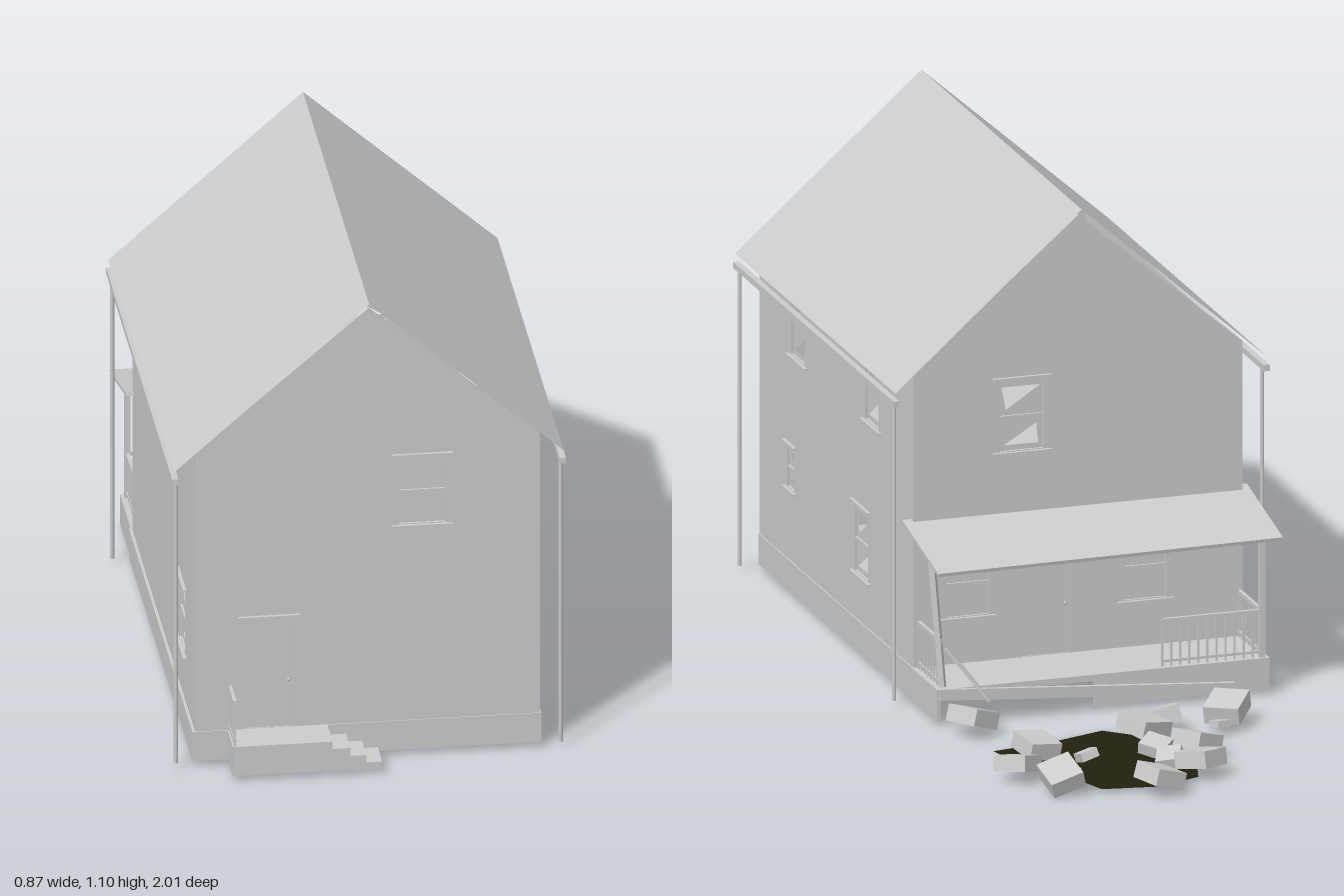
import * as THREE from 'three';

const grey = new THREE.MeshStandardMaterial({ color: 0xcccccc, side: THREE.DoubleSide });
grey.name = 'pale grey';
const black = new THREE.MeshStandardMaterial({ color: 0x222010, side: THREE.DoubleSide });
black.name = 'scorched black';

const W = 0.38, Z0 = -0.15, Z1 = 0.91, ZC = (Z0 + Z1) / 2, BASE = 0.08, EAVE = 0.755, RIDGE = 1.08;

function add(parent, name, geo, x = 0, y = 0, z = 0, mat = grey) {
  const m = new THREE.Mesh(geo, mat);
  m.name = name;
  m.position.set(x, y, z);
  parent.add(m);
  return m;
}

// Box given by its minimum and maximum on each axis
function box(parent, name, x0, x1, y0, y1, z0, z1) {
  return add(parent, name, new THREE.BoxGeometry(x1 - x0, y1 - y0, z1 - z0),
    (x0 + x1) / 2, (y0 + y1) / 2, (z0 + z1) / 2);
}

// Square bar running between two points
function bar(parent, name, a, b, w, d = w) {
  const p = new THREE.Vector3(...a), q = new THREE.Vector3(...b);
  const m = add(parent, name, new THREE.BoxGeometry(w, d, p.distanceTo(q)));
  m.position.copy(p).add(q).multiplyScalar(0.5);
  m.lookAt(q);
  return m;
}

const poly = pts => new THREE.Shape(pts.map(p => new THREE.Vector2(...p)));
const rect = (x0, x1, y0, y1) => poly([[x0, y0], [x1, y0], [x1, y1], [x0, y1]]);

// Sash window in wall space (z outward); a broken one has a triangular gap in its panes
function addWindow(wall, { u, y0, y1, w, broken }) {
  const g = new THREE.Group();
  g.name = 'window';
  wall.add(g);
  const a = u - w / 2, b = u + w / 2, mid = (y0 + y1) / 2, f = 0.005;
  const pane = rect(a, b, y0, y1);
  if (broken) {
    pane.holes.push(poly([[a + 0.01, y1 - 0.01], [b - 0.01, y1 - 0.01], [a + 0.02, mid + 0.015]]));
    pane.holes.push(poly([[a + 0.015, y0 + 0.012], [b - 0.015, y0 + 0.012], [b - 0.02, mid - 0.02]]));
  }
  add(g, 'windowPane', new THREE.ShapeGeometry(pane), 0, 0, -0.006);
  box(g, 'windowJamb', a, a + f, y0, y1, -0.008, 0.001);
  box(g, 'windowJamb', b - f, b, y0, y1, -0.008, 0.001);
  box(g, 'meetingRail', a, b, mid - 0.003, mid + 0.003, -0.006, -0.001);
  box(g, 'windowSill', a - 0.012, b + 0.012, y0 - 0.007, y0 - 0.002, -0.004, 0.008);
  box(g, 'windowLintel', a - 0.012, b + 0.012, y1 + 0.009, y1 + 0.014, -0.004, 0.008);
}

function addDoor(wall, u) {
  const g = new THREE.Group();
  g.name = 'door';
  wall.add(g);
  const a = u - 0.055, b = u + 0.055;
  box(g, 'doorLeaf', a, b, BASE, 0.34, -0.008, -0.003);
  box(g, 'doorJamb', a - 0.003, a, BASE, 0.343, -0.008, 0.002);
  box(g, 'doorJamb', b, b + 0.003, BASE, 0.343, -0.008, 0.002);
  box(g, 'doorLintel', a - 0.013, b + 0.013, 0.347, 0.352, -0.004, 0.008);
  add(g, 'doorKnob', new THREE.SphereGeometry(0.004, 8, 6), b - 0.01, 0.195, 0.001);
}

// Wall with window and door openings, turned to face outward
function addWall(root, name, outline, pos, turn, windows, door) {
  const g = new THREE.Group();
  g.name = name;
  g.position.set(...pos);
  g.rotation.y = turn;
  root.add(g);
  const s = poly(outline);
  windows.forEach(v => s.holes.push(rect(v.u - v.w / 2, v.u + v.w / 2, v.y0, v.y1)));
  if (door !== undefined) s.holes.push(rect(door - 0.055, door + 0.055, BASE + 0.001, 0.34));
  add(g, name + 'Panel', new THREE.ExtrudeGeometry(s, { depth: 0.01, bevelEnabled: false }), 0, 0, -0.01);
  windows.forEach(v => addWindow(g, v));
  if (door !== undefined) addDoor(g, door);
}

// Hand rail with balusters between two deck points
function addRailing(root, name, a, b, n) {
  const g = new THREE.Group();
  g.name = name;
  root.add(g);
  bar(g, 'handRail', [a[0], 0.185, a[1]], [b[0], 0.185, b[1]], 0.008);
  bar(g, 'bottomRail', [a[0], 0.092, a[1]], [b[0], 0.092, b[1]], 0.006);
  for (let i = 0; i <= n; i++) {
    const t = i / n, x = a[0] + (b[0] - a[0]) * t, z = a[1] + (b[1] - a[1]) * t;
    box(g, 'baluster', x - 0.002, x + 0.002, BASE, 0.185, z - 0.002, z + 0.002);
  }
}

export function createModel() {
  const root = new THREE.Group();
  root.name = 'abandonedHouse';

  // Foundation ring
  const F = W + 0.002;
  for (const s of [-1, 1]) box(root, 'foundationSide', s * F - 0.006, s * F + 0.001, 0.01, BASE, Z0, Z1);
  box(root, 'foundationFront', -F, F, 0.01, BASE, Z1 - 0.006, Z1 + 0.002);
  box(root, 'foundationBack', -F, F, 0.01, BASE, Z0 - 0.002, Z0 + 0.006);

  // Walls
  const gable = [[-W, BASE], [W, BASE], [W, EAVE], [0, RIDGE], [-W, EAVE]];
  const L = (Z1 - Z0) / 2;
  const side = [[-L, BASE], [L, BASE], [L, EAVE], [-L, EAVE]];
  const upper = (u, broken, w = 0.11) => ({ u, y0: 0.555, y1: 0.71, w, broken });
  const lower = (u, broken = true) => ({ u, y0: 0.187, y1: 0.335, w: 0.105, broken });
  addWall(root, 'frontWall', gable, [0, 0, Z1], 0, [upper(0.12, false)], -0.22);
  addWall(root, 'backWall', gable, [0, 0, Z0], Math.PI,
    [upper(-0.13, true), lower(-0.255), lower(0.155)], -0.075);
  addWall(root, 'leftWall', side, [W, 0, ZC], Math.PI / 2, [
    upper(ZC - 0.645, true, 0.105), upper(ZC - 0.135, true, 0.105), lower(ZC - 0.207),
    { u: ZC - 0.695, y0: 0.245, y1: 0.335, w: 0.06, broken: true }]);
  addWall(root, 'rightWall', side, [-W, 0, ZC], -Math.PI / 2,
    [upper(0.18 - ZC, true, 0.105), lower(0.69 - ZC)]);

  // Inner floor of the front room and its partition
  box(root, 'frontRoomFloor', -W + 0.01, W - 0.01, 0.074, 0.08, 0.15, Z1 - 0.01);
  box(root, 'partition', -W + 0.01, W - 0.01, BASE, 0.41, 0.15, 0.158);
  box(root, 'partitionDoor', -0.06, 0.05, BASE, 0.34, 0.145, 0.15);
  box(root, 'upperFloor', -W + 0.01, W - 0.01, 0.41, 0.416, Z0 + 0.01, Z1 - 0.01);

  // Roof sheets, gutters and downpipes
  const run = 0.43, drop = 0.38, slope = Math.hypot(run, drop);
  for (const s of [-1, 1]) {
    const sheet = new THREE.PlaneGeometry(slope, 1.105).rotateX(-Math.PI / 2).rotateZ(-s * Math.atan2(drop, run));
    add(root, 'roofSheet', sheet, s * run / 2, 1.1 - drop / 2, 0.3775);
    box(root, 'gutter', s * 0.428 - 0.007, s * 0.428 + 0.007, 0.688, 0.702, -0.175, 0.93);
    for (const z of [Z0, Z1 + 0.005])
      add(root, 'downpipe', new THREE.CylinderGeometry(0.005, 0.005, 0.68, 8), s * 0.425, 0.35, z);
  }

  // Front landing, side steps and rail
  box(root, 'landing', -0.31, -0.09, 0.01, BASE, Z1, 1);
  [[-0.05, 0.062], [-0.015, 0.043], [0.02, 0.025]].forEach(([x, y], i) =>
    box(root, 'step', x - 0.04, x, 0.008, y, 0.925, 1));
  addRailing(root, 'landingRailing', [-0.305, Z1 + 0.005], [-0.305, 0.995], 5);

  // Back porch deck with a fallen edge board
  box(root, 'porchDeck', -W, W, 0.07, BASE, -0.325, Z0);
  for (const s of [-1, 1]) box(root, 'porchSkirtSide', s * W - 0.004, s * W + 0.004, 0.008, BASE, -0.325, Z0);
  box(root, 'porchSkirtBack', -W, 0.02, 0.008, 0.07, -0.325, -0.317);
  bar(root, 'fallenBoard', [W, 0.07, -0.328], [-0.3, 0.022, -0.334], 0.01, 0.025);

  // Porch roof, posts and railings
  const porchRoof = add(root, 'porchRoof', new THREE.BoxGeometry(0.8, 0.008, 0.245), 0, 0.387, -0.25);
  porchRoof.rotation.set(-Math.atan2(0.055, 0.24), 0.015, 0);
  bar(root, 'porchBeam', [-0.385, 0.36, -0.31], [0.385, 0.36, -0.31], 0.012, 0.014);
  bar(root, 'porchPost', [-0.37, BASE, -0.312], [-0.37, 0.37, -0.312], 0.013);
  bar(root, 'leaningPost', [0.365, BASE, -0.305], [0.385, 0.37, -0.29], 0.013);
  for (const s of [-1, 1]) addRailing(root, 'porchSideRailing', [s * 0.37, -0.16], [s * 0.37, -0.305], 7);
  addRailing(root, 'porchBackRailing', [-0.37, -0.312], [-0.14, -0.312], 11);
  bar(root, 'brokenRail', [0.36, 0.17, -0.315], [0.27, 0.05, -0.345], 0.008);

  // Scorched ground patch (shape y becomes -z)
  const patch = poly([[-0.03, 0.89], [0.08, 0.93], [0.2, 0.91], [0.24, 0.79], [0.3, 0.71], [0.335, 0.565],
    [0.19, 0.54], [0.06, 0.495], [-0.05, 0.6], [-0.06, 0.79]]);
  add(root, 'scorchedPatch', new THREE.ShapeGeometry(patch).rotateX(-Math.PI / 2), 0, 0.005, 0, black);

  // Scattered rubble: x, z, size, turn
  const rubble = [[0.08, -0.955, 0.085, 0.3], [-0.045, -0.86, 0.085, 0.6], [0.285, -0.885, 0.085, 0.1],
    [0.345, -0.765, 0.08, 0.7], [-0.08, -0.73, 0.085, 0.5], [-0.22, -0.52, 0.09, -0.6], [-0.065, -0.53, 0.08, -0.1],
    [-0.005, -0.59, 0.09, 0.4], [0.265, -0.655, 0.085, 0.2], [0.17, -0.715, 0.045, 0.05], [0.01, -0.715, 0.06, 0.8],
    [0.33, -0.41, 0.085, 0.5], [-0.185, -0.575, 0.035, 0.3], [0.01, -0.81, 0.06, -0.4], [0.25, -0.825, 0.045, 0.5]];
  rubble.forEach(([x, z, s, turn], i) => {
    const tilt = 0.3 * Math.sin(i * 2.3), roll = 0.3 * Math.cos(i * 1.7);
    const m = add(root, 'rubbleBlock', new THREE.BoxGeometry(s * 0.9, s * 0.45, s), x, 0.008 + s * 0.36, z);
    m.rotation.set(tilt, turn, roll);
  });
  return root;
}
